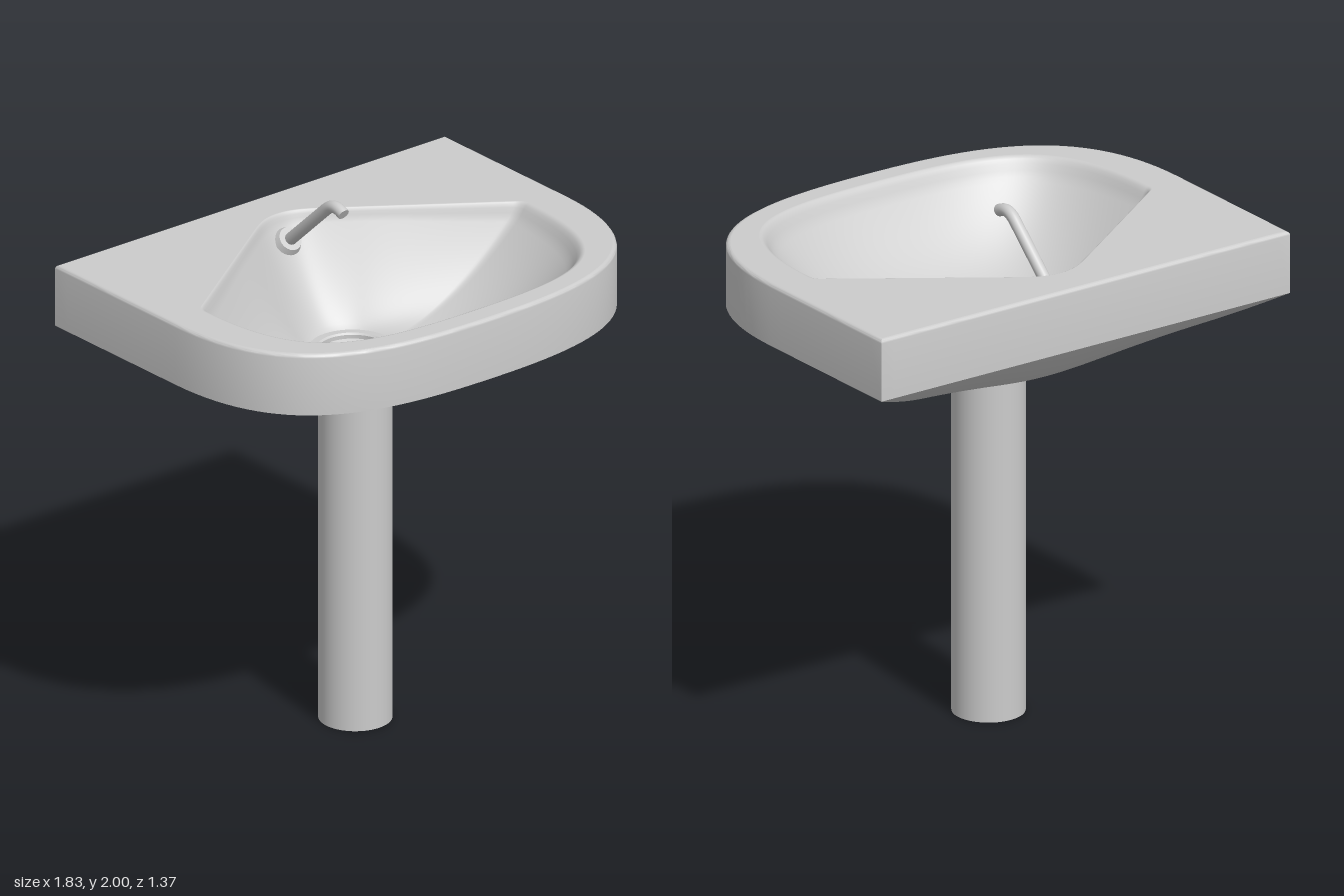
import * as THREE from 'three';
import { toCreasedNormals } from 'three/addons/utils/BufferGeometryUtils.js';

const V2 = (x, y) => new THREE.Vector2(x, y);
const RIM = 1.84, EDGE = 1.6, BASE = 1.355, FLOOR = 1.45;

// Mirror a half outline (back centre -> +x side -> front centre) into a closed ring of (x, z) points.
function mirrorRing(half) {
  const other = half.slice(1, -1).reverse().map(p => V2(-p.x, p.y));
  return [...half, ...other];
}

// Sample a chain of curves, dropping the shared joints.
function sample(chain) {
  const pts = [];
  for (const [curve, n] of chain) {
    const part = curve.getPoints(n);
    pts.push(...(pts.length ? part.slice(1) : part));
  }
  return pts;
}

// Skin a list of closed rings of Vector3.
function loft(rings, crease) {
  const n = rings[0].length, pos = [], idx = [];
  for (const ring of rings) for (const p of ring) pos.push(p.x, p.y, p.z);
  for (let j = 0; j < rings.length - 1; j++) {
    for (let i = 0; i < n; i++) {
      const k = (i + 1) % n, a = j * n + i, b = j * n + k, c = a + n, d = b + n;
      idx.push(a, b, c, b, d, c);
    }
  }
  const g = new THREE.BufferGeometry();
  g.setAttribute('position', new THREE.Float32BufferAttribute(pos, 3));
  g.setIndex(idx);
  g.computeVertexNormals();
  return crease ? toCreasedNormals(g, crease) : g;
}

// Point of the circle round (0, cz) lying in the direction of p.
function onCircle(p, r, cz) {
  return V2(p.x, p.y - cz).normalize().multiplyScalar(r).add(V2(0, cz));
}

export function createModel() {
  const group = new THREE.Group();
  const mat = new THREE.MeshStandardMaterial({ color: 0xcccccc });
  const thin = new THREE.MeshStandardMaterial({ color: 0xcccccc, side: THREE.DoubleSide });
  const add = (name, geo, m = mat) => {
    const mesh = new THREE.Mesh(geo, m);
    mesh.name = name;
    group.add(mesh);
    return mesh;
  };

  // Outer outline: straight back and sides, broad round front
  const outer = mirrorRing(sample([
    [new THREE.LineCurve(V2(0, -0.685), V2(0.915, -0.685)), 16],
    [new THREE.LineCurve(V2(0.915, -0.685), V2(0.915, 0)), 10],
    [new THREE.CubicBezierCurve(V2(0.915, 0), V2(0.915, 0.62), V2(0.48, 0.685), V2(0, 0.685)), 32],
  ]));

  // Bowl opening: peaked at the back, cornered at the sides, round at the front
  const opening = mirrorRing(sample([
    [new THREE.CubicBezierCurve(V2(0, -0.53), V2(0.07, -0.53), V2(0.11, -0.5), V2(0.19, -0.445)), 10],
    [new THREE.LineCurve(V2(0.19, -0.445), V2(0.74, -0.065)), 18],
    [new THREE.QuadraticBezierCurve(V2(0.74, -0.065), V2(0.765, -0.048), V2(0.765, -0.02)), 5],
    [new THREE.CubicBezierCurve(V2(0.765, -0.02), V2(0.765, 0.54), V2(0.52, 0.597), V2(0, 0.597)), 32],
  ]));

  // Basin shell: rounded top edge, upright wall, belly tapering to the pedestal
  const bevel = 0.015;
  const shell = [];
  for (let k = 0; k <= 4; k++) {
    const a = k / 4 * Math.PI / 2, inset = bevel * (1 - Math.sin(a));
    shell.push(outer.map(p => new THREE.Vector3(p.x * (1 - inset / 0.915),
      RIM - bevel * (1 - Math.cos(a)), p.y * (1 - inset / 0.685))));
  }
  const STEPS = 20;
  for (let k = 0; k <= STEPS; k++) {
    const t = 1 - k / STEPS;
    shell.push(outer.map(p => {
      const c = onCircle(p, 0.13, -0.085);
      const back = Math.max(0, -(c.y + 0.085) / 0.13);
      const q = c.clone().lerp(p, t);
      return new THREE.Vector3(q.x, BASE + (EDGE - BASE) * Math.pow(t, 1.3 + 0.75 * back * back), q.y);
    }));
  }
  add('basinShell', loft(shell, 0.55));

  // Flat deck around the opening
  const flat = (pts, s = 0) => pts.map(p => V2(p.x * (1 - s / 0.915), -p.y * (1 - s / 0.685)));
  const deck = new THREE.Shape(flat(outer, bevel));
  deck.holes.push(new THREE.Path(flat(opening)));
  add('deck', new THREE.ShapeGeometry(deck).rotateX(-Math.PI / 2).translate(0, RIM, 0));

  // Bowl: steep and straight at the back, shallow and dished at the front
  const bowl = [];
  for (let k = 0; k <= 32; k++) {
    const u = Math.pow(1 - k / 32, 1.5);
    bowl.push(opening.map(p => {
      const c = onCircle(p, 0.16, -0.1);
      const front = THREE.MathUtils.smoothstep((c.y + 0.1) / 0.16, -0.7, 0.7);
      const depth = (1 - Math.pow(1 - u, 1.25 + 0.95 * front)) * THREE.MathUtils.smoothstep(u, -0.01, 0.08);
      const q = p.clone().lerp(c, u);
      return new THREE.Vector3(q.x, RIM - (RIM - FLOOR) * depth, q.y);
    }));
  }
  add('bowl', loft(bowl));

  // Drain collar and dished plug
  const collar = [[0.165, -0.004], [0.16, 0.006], [0.133, 0.006], [0.126, 0], [0.126, -0.03]];
  add('drainCollar', toCreasedNormals(new THREE.LatheGeometry(collar.map(p => V2(...p)), 48), 0.6), thin)
    .position.set(0, FLOOR, -0.1);
  const plug = [[0, -0.045], [0.05, -0.04], [0.09, -0.028], [0.12, -0.012]];
  add('drainPlug', new THREE.LatheGeometry(plug.map(p => V2(...p)), 48), thin).position.set(0, FLOOR, -0.1);

  // Pedestal
  add('pedestal', new THREE.CylinderGeometry(0.135, 0.135, 1.36, 48)).position.set(0, 0.68, -0.085);

  // Tap: leaning pipe with a bent spout, closed tip and base flange
  const path = new THREE.CurvePath();
  const at = (y, z) => new THREE.Vector3(0, y, z);
  path.add(new THREE.LineCurve3(at(1.745, -0.475), at(1.945, -0.258)));
  path.add(new THREE.CubicBezierCurve3(at(1.945, -0.258), at(1.975, -0.226), at(1.99, -0.2), at(1.964, -0.152)));
  add('tapPipe', new THREE.TubeGeometry(path, 48, 0.023, 20));
  const tip = add('tapTip', new THREE.CircleGeometry(0.023, 20), thin);
  tip.position.set(0, 1.964, -0.152);
  tip.lookAt(tip.position.clone().add(path.getTangent(1)));
  const flange = add('tapFlange', new THREE.CylinderGeometry(0.045, 0.055, 0.024, 32));
  flange.position.set(0, 1.757, -0.463);
  flange.rotation.x = 0.82;

  return group;
}
